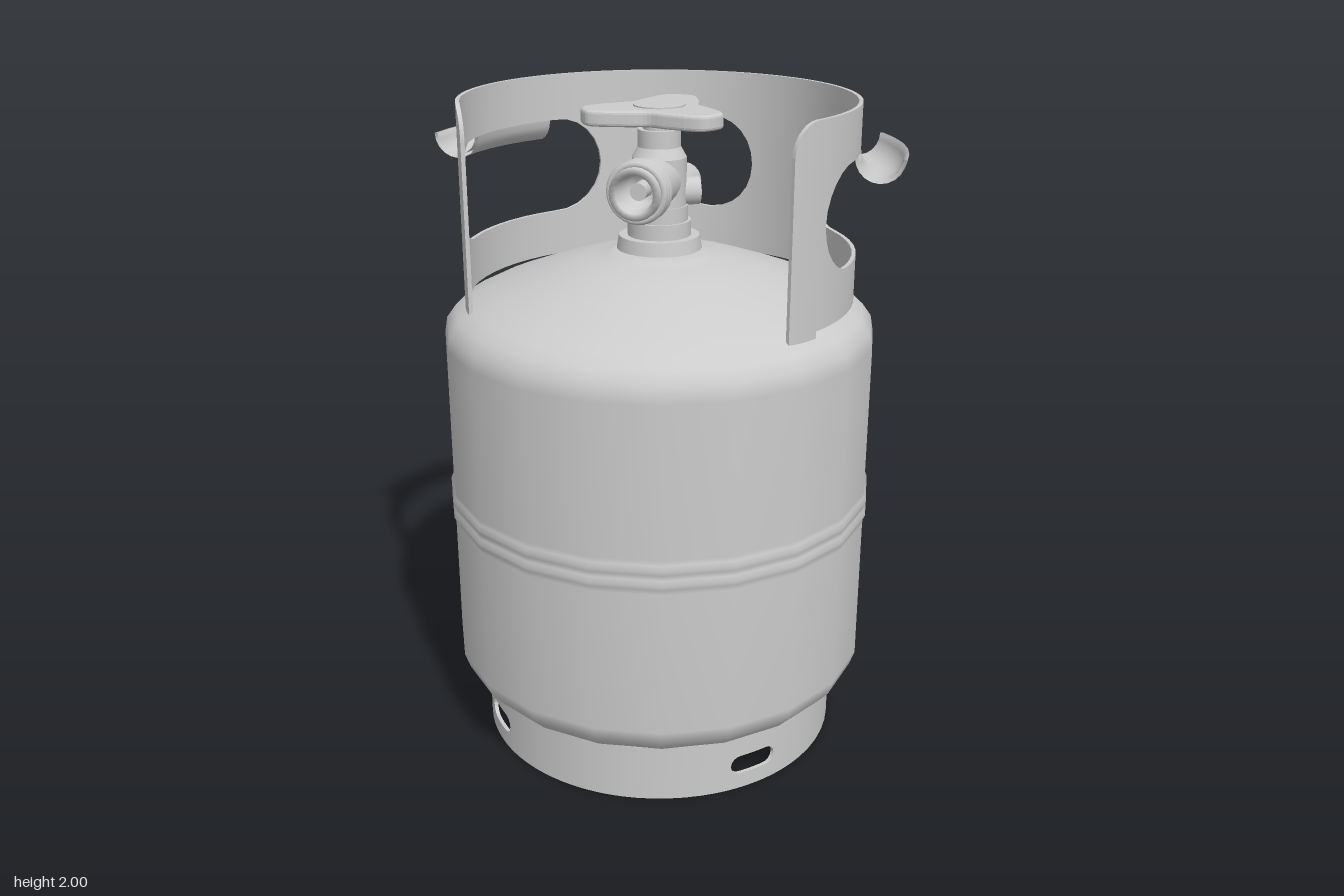
import * as THREE from 'three';
import { mergeGeometries } from 'three/addons/utils/BufferGeometryUtils.js';

const RAD = Math.PI / 180;
const mat = new THREE.MeshStandardMaterial({ color: 0xcccccc });
const matDouble = new THREE.MeshStandardMaterial({ color: 0xcccccc, side: THREE.DoubleSide });

function add(parent, name, geometry, material = mat) {
  const mesh = new THREE.Mesh(geometry, material);
  mesh.name = name;
  parent.add(mesh);
  return mesh;
}

const lathe = (pts, segs, start = 0, len = Math.PI * 2) =>
  new THREE.LatheGeometry(pts.map(([r, y]) => new THREE.Vector2(r, y)), segs, start, len);

// Curved slab following the angles in `cols`, between heights lo(a) and hi(a); angle 0 faces +z
function band(cols, ri, ro, lo, hi) {
  const pos = [], idx = [];
  const section = a => [[ro, lo(a)], [ro, hi(a)], [ri, hi(a)], [ri, lo(a)]]
    .map(([r, y]) => [r * Math.sin(a), y, r * Math.cos(a)]);
  const sections = cols.map(section);
  for (let f = 0; f < 4; f++) {
    const base = pos.length / 3;
    sections.forEach((s, i) => {
      pos.push(...s[f], ...s[(f + 1) % 4]);
      if (i === 0) return;
      const p = base + (i - 1) * 2;
      idx.push(p, p + 2, p + 3, p, p + 3, p + 1);
    });
  }
  [sections[0], sections[sections.length - 1].slice().reverse()].forEach(s => {
    const b = pos.length / 3;
    s.forEach(c => pos.push(...c));
    idx.push(b, b + 1, b + 2, b, b + 2, b + 3);
  });
  const g = new THREE.BufferGeometry();
  g.setAttribute('position', new THREE.Float32BufferAttribute(pos, 3));
  g.setIndex(idx);
  g.computeVertexNormals();
  return g;
}

// Columns from a0 to a1, packed closer towards both ends
function columns(a0, a1) {
  const n = Math.max(12, Math.ceil((a1 - a0) / (4 * RAD)));
  return Array.from({ length: n + 1 }, (_, i) => a0 + (a1 - a0) * (1 - Math.cos(Math.PI * i / n)) / 2);
}

// Rolled plate with rounded slots; each slot is { a0, a1, y, h } with h its half height
function rolledPlate(a0, a1, ri, ro, lo, hi, slots) {
  const parts = [];
  let at = a0;
  for (const s of slots) {
    parts.push(band(columns(at, s.a0), ri, ro, lo, hi));
    const mid = (s.a0 + s.a1) / 2, straight = (s.a1 - s.a0) / 2 * ro - s.h;
    const half = a => {
      const d = Math.max(0, Math.abs(a - mid) * ro - straight);
      return Math.sqrt(Math.max(0, s.h * s.h - d * d));
    };
    const cols = columns(s.a0, s.a1);
    parts.push(band(cols, ri, ro, lo, a => s.y - half(a)));
    parts.push(band(cols, ri, ro, a => s.y + half(a), hi));
    at = s.a1;
  }
  parts.push(band(columns(at, a1), ri, ro, lo, hi));
  return mergeGeometries(parts);
}

function buildCollar(group) {
  const collar = new THREE.Group();
  collar.name = 'collar';
  group.add(collar);
  const ri = 0.568, ro = 0.58, start = 54.5 * RAD, end = 2 * Math.PI - start, corner = 0.09;
  // Top edge with rounded front corners
  const top = a => {
    const d = Math.max(0, corner - Math.min(a - start, end - a) * ro);
    return 2 - corner + Math.sqrt(Math.max(0, corner * corner - d * d));
  };
  const sideSlot = { a0: 68 * RAD, a1: 143 * RAD, y: 1.71, h: 0.148 };
  const backHole = { a0: Math.PI - 0.15 / ro, a1: Math.PI + 0.15 / ro, y: 1.71, h: 0.15 };
  const otherSlot = { ...sideSlot, a0: 217 * RAD, a1: 292 * RAD };
  add(collar, 'guardPlate', rolledPlate(start, end, ri, ro, () => 1.42, top, [sideSlot, backHole, otherSlot]));

  // Welding tabs under both front ends and the back
  [[54.5, 65.5], [175.5, 184.5], [294.5, 305.5]].forEach(([a, b]) =>
    add(collar, 'weldTab', band(columns(a * RAD, b * RAD), ri, ro, () => 1.39, () => 1.42)));

  // Carrying grips curled outward from the slots
  const rim = [];
  for (let i = 0; i <= 10; i++) rim.push([i, 0.072]);
  for (let i = 10; i >= 0; i--) rim.push([i, 0.062]);
  rim.push([0, 0.072]);
  const trough = rim.map(([i, r]) => {
    const t = Math.PI * (1 + i / 10);
    return [0.643 + r * Math.cos(t), 1.86 + r * Math.sin(t)];
  });
  [90, 235].forEach(a => add(collar, 'grip', lathe(trough, 5, a * RAD, 35 * RAD), matDouble));
}

function buildValve(group) {
  const valve = new THREE.Group();
  valve.name = 'valve';
  group.add(valve);
  const post = (name, r0, r1, y0, y1, segs = 24) =>
    add(valve, name, new THREE.CylinderGeometry(r1, r0, y1 - y0, segs)).position.set(0, (y0 + y1) / 2, 0);
  post('neckFlange', 0.13, 0.12, 1.54, 1.6);
  post('neckRing', 0.094, 0.094, 1.6, 1.645);
  post('neck', 0.085, 0.085, 1.645, 1.69);
  post('valveBody', 0.08, 0.08, 1.69, 1.83);
  post('shoulder', 0.08, 0.063, 1.83, 1.86);
  post('bonnet', 0.063, 0.063, 1.86, 1.91);
  post('stem', 0.048, 0.048, 1.91, 1.94);

  // Front outlet: hollow threaded socket with a centre pin
  const outlet = new THREE.Group();
  outlet.name = 'outlet';
  outlet.position.y = 1.765;
  outlet.rotation.x = Math.PI / 2;
  valve.add(outlet);
  add(outlet, 'socket', lathe([[0.075, 0], [0.075, 0.237], [0.055, 0.237], [0.045, 0.14], [0, 0.14]], 24), matDouble);
  [0.168, 0.19, 0.212].forEach(y => {
    const ring = add(outlet, 'threadRing', new THREE.TorusGeometry(0.08, 0.011, 8, 28));
    ring.rotation.x = Math.PI / 2;
    ring.position.y = y;
  });
  add(outlet, 'pin', new THREE.CylinderGeometry(0.025, 0.025, 0.06, 16)).position.y = 0.17;

  // Rear relief pipe
  const pipe = add(valve, 'reliefPipe', new THREE.CylinderGeometry(0.055, 0.055, 0.26, 20));
  pipe.rotation.x = Math.PI / 2;
  pipe.position.set(0, 1.71, -0.13);

  // Small side ports, angled to the rear
  [-1, 1].forEach(s => {
    const port = add(valve, 'sidePort', new THREE.CylinderGeometry(0.042, 0.042, 0.12, 16));
    port.rotation.set(0, s * 30 * RAD, Math.PI / 2);
    port.position.set(s * 0.05, 1.725, -0.03);
  });

  // Three-lobed handwheel
  const outline = [];
  for (let i = 0; i < 3; i++) {
    [[-17, 0.2], [-9, 0.223], [9, 0.223], [17, 0.2], [38, 0.14], [60, 0.115], [82, 0.14]].forEach(([d, r]) => {
      const a = (90 + i * 120 + d) * RAD;
      outline.push(new THREE.Vector2(r * Math.cos(a), r * Math.sin(a)));
    });
  }
  const curve = new THREE.CatmullRomCurve3(outline.map(p => new THREE.Vector3(p.x, p.y, 0)), true);
  const shape = new THREE.Shape(curve.getPoints(84).slice(0, -1).map(p => new THREE.Vector2(p.x, p.y)));
  const wheel = new THREE.ExtrudeGeometry(shape, {
    depth: 0.026, bevelEnabled: true, bevelSize: 0.01, bevelThickness: 0.01, bevelOffset: -0.008, bevelSegments: 3,
  });
  wheel.rotateX(-Math.PI / 2);
  add(valve, 'handwheel', wheel).position.y = 1.94;
  post('handwheelCap', 0.075, 0.075, 1.97, 1.98, 32);
}

export function createModel() {
  const model = new THREE.Group();
  model.name = 'gasCylinder';

  // Pressure tank with domed ends and a double rolled bead
  add(model, 'tank', lathe([
    [0, 0.05], [0.2, 0.065], [0.4, 0.115], [0.5, 0.155], [0.56, 0.18], [0.6, 0.205], [0.635, 0.245], [0.65, 0.29],
    [0.65, 0.74], [0.651, 0.755], [0.658, 0.77], [0.651, 0.785], [0.651, 0.8], [0.658, 0.815], [0.651, 0.83],
    [0.65, 0.845], [0.65, 1.3], [0.642, 1.345], [0.615, 1.382], [0.57, 1.41], [0.5, 1.44], [0.4, 1.478],
    [0.28, 1.52], [0.2, 1.538], [0.15, 1.546], [0.13, 1.56], [0, 1.56],
  ], 20));

  // Foot ring with four slots
  const slots = [48, 132, 228, 312].map(d => ({ a0: (d - 8) * RAD, a1: (d + 8) * RAD, y: 0.082, h: 0.031 }));
  add(model, 'footRing', rolledPlate(0, Math.PI * 2, 0.548, 0.56, () => 0, () => 0.18, slots));

  buildCollar(model);
  buildValve(model);
  return model;
}
